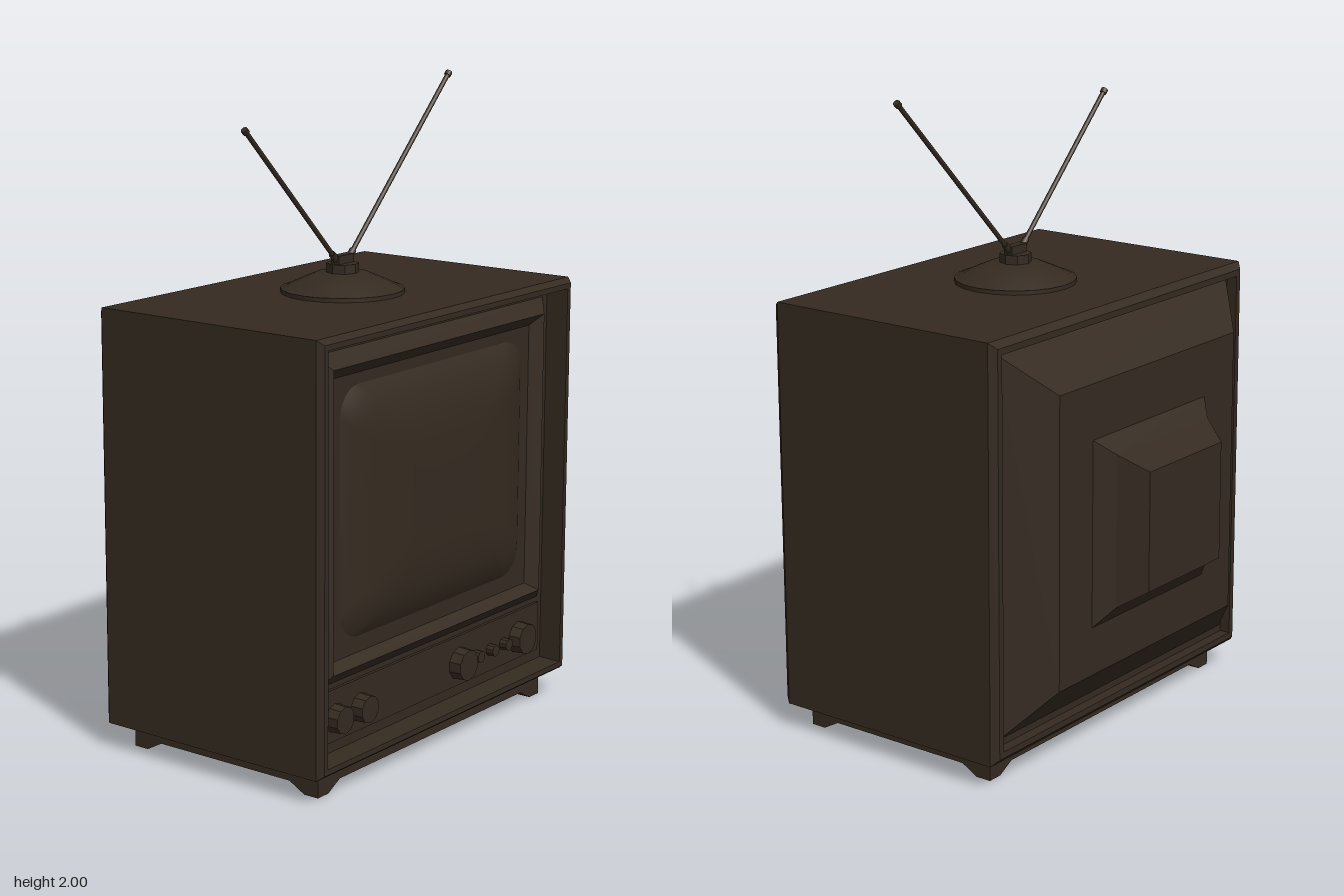
import * as THREE from 'three';

const brown = new THREE.MeshStandardMaterial({ color: 0x342a20 });
brown.name = 'darkBrown';

// Flat-faced loft through rectangles [halfWidth, bottom, top, z], listed from back to front
function rectLoft(rings, capStart, capEnd, cx = 0) {
  const loops = rings.map(([h, b, t, z]) =>
    [[cx - h, b, z], [cx + h, b, z], [cx + h, t, z], [cx - h, t, z]]);
  const pos = [];
  const quad = (a, b, c, d) => [a, b, c, a, c, d].forEach((p) => pos.push(...p));
  for (let k = 0; k + 1 < loops.length; k++) {
    for (let i = 0; i < 4; i++) {
      const j = (i + 1) % 4;
      quad(loops[k][i], loops[k][j], loops[k + 1][j], loops[k + 1][i]);
    }
  }
  if (capStart) quad(...[...loops[0]].reverse());
  if (capEnd) quad(...loops[loops.length - 1]);
  const g = new THREE.BufferGeometry();
  g.setAttribute('position', new THREE.Float32BufferAttribute(pos, 3));
  g.computeVertexNormals();
  return g;
}

// Bulging rounded-rectangle glass made of shrinking rings
function screenGeometry(w, h, r, depth) {
  const outline = [];
  [[1, 1], [-1, 1], [-1, -1], [1, -1]].forEach(([sx, sy], q) => {
    for (let i = 0; i <= 6; i++) {
      const a = (q + i / 6) * Math.PI / 2;
      outline.push([sx * (w - r) + r * Math.cos(a), sy * (h - r) + r * Math.sin(a)]);
    }
  });
  const n = outline.length, rings = 12, pos = [], idx = [];
  for (let k = 0; k < rings; k++) {
    const t = 1 - (k / rings) ** 1.3;
    outline.forEach(([x, y]) => pos.push(x * t, y * t, depth * (1 - t ** 4.5)));
  }
  pos.push(0, 0, depth);
  for (let k = 0; k < rings; k++) {
    for (let i = 0; i < n; i++) {
      const j = (i + 1) % n, a = k * n + i, b = k * n + j;
      if (k === rings - 1) idx.push(a, b, rings * n);
      else idx.push(a, b, b + n, a, b + n, a + n);
    }
  }
  const g = new THREE.BufferGeometry();
  g.setAttribute('position', new THREE.Float32BufferAttribute(pos, 3));
  g.setIndex(idx);
  g.computeVertexNormals();
  return g;
}

export function createModel() {
  const model = new THREE.Group();
  model.name = 'television';
  const add = (name, geo, x = 0, y = 0, z = 0) => {
    const m = new THREE.Mesh(geo, brown);
    m.name = name;
    m.position.set(x, y, z);
    model.add(m);
    return m;
  };

  // Cabinet with chamfered edges, recessed at the front and slightly at the back
  add('cabinet', rectLoft([
    [0.605, 0.12, 1.33, -0.275], [0.605, 0.12, 1.33, -0.31],
    [0.625, 0.10, 1.35, -0.31], [0.645, 0.08, 1.37, -0.29],
    [0.645, 0.08, 1.37, 0.51], [0.63, 0.095, 1.355, 0.53],
    [0.613, 0.112, 1.338, 0.53], [0.61, 0.115, 1.335, 0.455],
  ], true, true));

  // Stepped housing on the back
  add('backHousing', rectLoft([
    [0.455, 0.28, 1.19, -0.397], [0.59, 0.142, 1.32, -0.275],
  ], true, false, -0.005));
  add('tubeCover', rectLoft([
    [0.19, 0.545, 0.92, -0.53], [0.24, 0.49, 0.97, -0.445], [0.295, 0.43, 1.02, -0.395],
  ], true, false, -0.006));

  // Raised bezel, sinking to the screen panel
  add('bezel', rectLoft([
    [0.585, 0.325, 1.31, 0.454], [0.54, 0.365, 1.265, 0.492],
    [0.505, 0.39, 1.23, 0.458],
  ], false, true));
  add('screen', screenGeometry(0.465, 0.378, 0.09, 0.06), -0.002, 0.818, 0.458);

  // Control panel and knobs
  add('controlPanel', rectLoft([
    [0.58, 0.15, 0.31, 0.454], [0.58, 0.15, 0.31, 0.465],
  ], false, true));
  [[-0.497, 0.044], [-0.377, 0.044], [0.133, 0.052], [0.223, 0.02],
    [0.303, 0.02], [0.378, 0.02], [0.463, 0.052]].forEach(([x, r]) => {
    const d = r > 0.03 ? 0.04 : 0.025;
    const g = new THREE.CylinderGeometry(r * 0.95, r, d, 10).toNonIndexed();
    g.computeVertexNormals();
    add('knob', g, x, 0.222, 0.465 + d / 2).rotation.x = Math.PI / 2;
  });

  // Hollow plinth, open underneath
  const rect = (target, w, d) => {
    target.moveTo(-w, -d).lineTo(w, -d).lineTo(w, d).lineTo(-w, d).closePath();
    return target;
  };
  const plinth = rect(new THREE.Shape(), 0.583, 0.354);
  plinth.holes.push(rect(new THREE.Path(), 0.533, 0.304));
  add('plinth', new THREE.ExtrudeGeometry(plinth, { depth: 0.052, bevelEnabled: false }), 0, 0.082, 0.115)
    .rotation.x = Math.PI / 2;

  // Corner feet, slanted on the inner sides
  for (const sx of [-1, 1]) {
    for (const sz of [-1, 1]) {
      const g = new THREE.BoxGeometry(0.105, 0.03, 0.105).toNonIndexed();
      const p = g.attributes.position;
      for (let i = 0; i < p.count; i++) {
        if (p.getY(i) > 0) continue;
        if (p.getX(i) * sx < 0) p.setX(i, p.getX(i) + sx * 0.055);
        if (p.getZ(i) * sz < 0) p.setZ(i, p.getZ(i) + sz * 0.055);
      }
      g.computeVertexNormals();
      add('foot', g, sx * 0.5305, 0.015, 0.115 + sz * 0.3015);
    }
  }

  // Antenna base: thin disc, shallow cone, neck and pivot
  add('antennaDisc', new THREE.CylinderGeometry(0.19, 0.19, 0.014, 20), 0, 1.376, 0.11);
  const cone = [[0.185, 1.382], [0.14, 1.404], [0.08, 1.43], [0, 1.433]];
  add('antennaBase', new THREE.LatheGeometry(cone.map(([x, y]) => new THREE.Vector2(x, y)), 20), 0, 0, 0.11);
  const neck = new THREE.CylinderGeometry(0.05, 0.05, 0.03, 8).toNonIndexed();
  neck.computeVertexNormals();
  add('antennaNeck', neck, 0, 1.444, 0.11);
  add('antennaPivot', new THREE.BoxGeometry(0.075, 0.028, 0.03), 0, 1.471, 0.11);

  // Antenna rods with small end caps
  [[-0.035, -0.46, 1.9], [0.035, 0.547, 1.99]].forEach(([x0, x1, y1]) => {
    const a = new THREE.Vector3(x0, 1.475, 0.11), b = new THREE.Vector3(x1, y1, 0.11);
    const dir = b.clone().sub(a), len = dir.length();
    dir.normalize();
    const q = new THREE.Quaternion().setFromUnitVectors(new THREE.Vector3(0, 1, 0), dir);
    const piece = (name, r, l, at) => {
      const m = add(name, new THREE.CylinderGeometry(r, r, l, 8));
      m.position.copy(a).addScaledVector(dir, at);
      m.quaternion.copy(q);
    };
    piece('antennaRod', 0.0075, len, len / 2);
    piece('antennaSocket', 0.011, 0.03, 0.01);
    piece('antennaTip', 0.011, 0.015, len);
  });
  return model;
}
